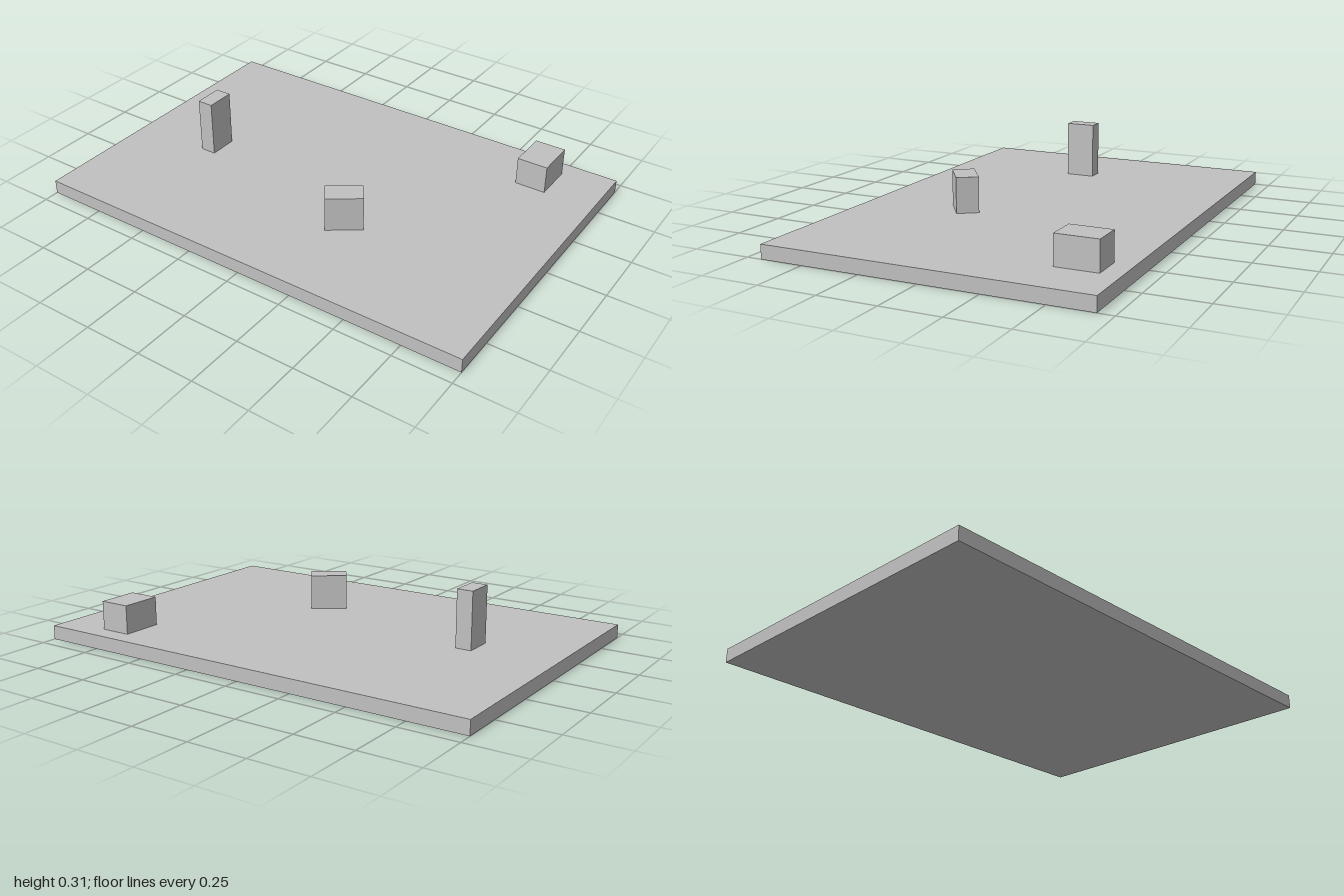
import * as THREE from 'three';

export function createModel() {
  const model = new THREE.Group();
  const grey = new THREE.MeshStandardMaterial({ color: 0xc0c0c0 });
  grey.name = 'light grey';

  // Box standing with its underside at height y, turned about the vertical axis
  function addBox(name, [w, h, d], [x, y, z], turn = 0) {
    const mesh = new THREE.Mesh(new THREE.BoxGeometry(w, h, d), grey);
    mesh.name = name;
    mesh.position.set(x, y + h / 2, z);
    mesh.rotation.y = turn;
    model.add(mesh);
  }

  // Flat ground slab
  const top = 0.06;
  addBox('baseSlab', [2, top, 1.37], [0, 0, 0]);

  // Three blocks standing on the slab
  addBox('tallBlock', [0.07, 0.245, 0.127], [-0.615, top, 0.057]);
  addBox('turnedBlock', [0.158, 0.153, 0.095], [0.205, top, 0.243], THREE.MathUtils.degToRad(35));
  addBox('lowBlock', [0.135, 0.123, 0.178], [0.713, top, -0.515]);

  return model;
}
